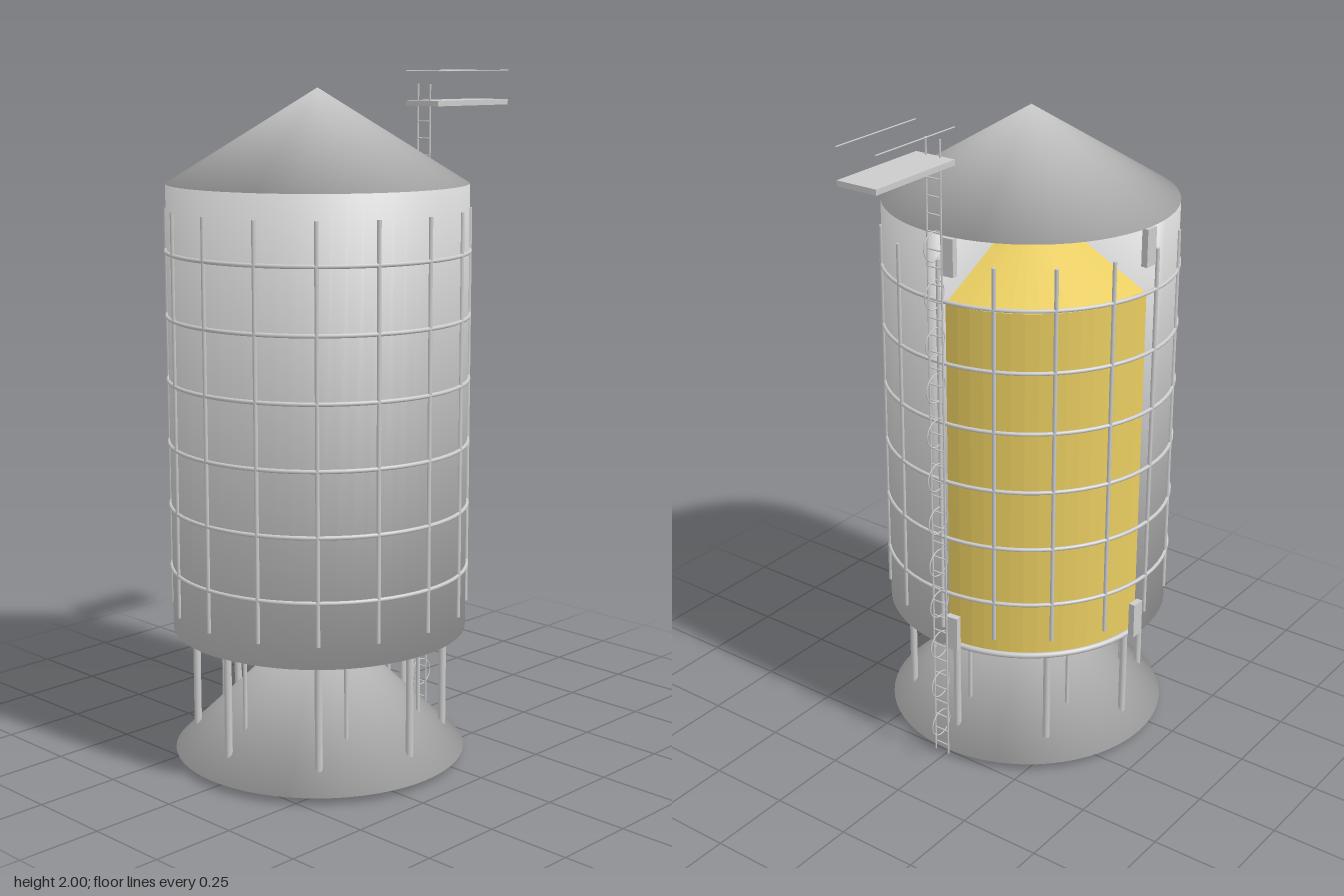
import * as THREE from 'three';
import { mergeVertices, mergeGeometries } from 'three/addons/utils/BufferGeometryUtils.js';

const R = 0.43;
const RAD = Math.PI / 180;
const grey = new THREE.MeshStandardMaterial({ color: 0xcccccc });
const greyBoth = new THREE.MeshStandardMaterial({ color: 0xcccccc, side: THREE.DoubleSide });
const yellow = new THREE.MeshStandardMaterial({ color: 0xe8cc60, flatShading: true, side: THREE.DoubleSide });

// Weld a geometry and give it smooth, corner-angle-weighted normals
function soften(geometry) {
  geometry.deleteAttribute('normal');
  geometry.deleteAttribute('uv');
  const g = mergeVertices(geometry, 1e-3);
  const pos = g.attributes.position;
  const sums = Array.from({ length: pos.count }, () => new THREE.Vector3());
  for (let i = 0; i < g.index.count; i += 3) {
    const ids = [0, 1, 2].map((k) => g.index.getX(i + k));
    const p = ids.map((id) => new THREE.Vector3().fromBufferAttribute(pos, id));
    const n = new THREE.Triangle(...p).getNormal(new THREE.Vector3());
    ids.forEach((id, k) => {
      const a = p[(k + 1) % 3].clone().sub(p[k]);
      const b = p[(k + 2) % 3].clone().sub(p[k]);
      sums[id].addScaledVector(n, a.angleTo(b));
    });
  }
  const normals = sums.flatMap((v) => v.normalize().toArray());
  g.setAttribute('normal', new THREE.Float32BufferAttribute(normals, 3));
  return g;
}

function add(parent, name, geometry, x = 0, y = 0, z = 0, material = grey) {
  const mesh = new THREE.Mesh(geometry, material);
  mesh.name = name;
  mesh.position.set(x, y, z);
  parent.add(mesh);
  return mesh;
}

function group(parent, name) {
  const g = new THREE.Group();
  g.name = name;
  parent.add(g);
  return g;
}

// Vertical posts evenly spaced on a circle
function postRing(parent, name, count, radius, thickness, y0, y1) {
  const ring = group(parent, name + 's');
  const geometry = new THREE.CylinderGeometry(thickness, thickness, y1 - y0, 8);
  for (let i = 0; i < count; i++) {
    const a = Math.PI / 2 + (i / count) * Math.PI * 2;
    add(ring, name, geometry, radius * Math.sin(a), (y0 + y1) / 2, radius * Math.cos(a));
  }
}

function hoop(parent, name, radius, tube, y) {
  add(parent, name, new THREE.TorusGeometry(radius, tube, 8, 64).rotateX(Math.PI / 2), 0, y, 0);
}

export function createModel() {
  const model = new THREE.Group();
  model.name = 'grainSilo';
  const silo = group(model, 'silo');
  silo.position.x = -0.16;

  // Tank body with a quarter cut out at the back right
  const y0 = 0.395, y1 = 1.69, h = y1 - y0;
  const body = mergeGeometries([
    new THREE.CylinderGeometry(R, R, h, 48, 1, false, Math.PI, Math.PI * 1.5),
    new THREE.PlaneGeometry(R, h).rotateY(Math.PI / 2).translate(0, 0, -R / 2),
    new THREE.PlaneGeometry(R, h).rotateY(Math.PI).translate(R / 2, 0, 0),
  ]);
  add(silo, 'tankBody', soften(body), 0, (y0 + y1) / 2, 0, greyBoth);

  // Grain filling the cut-out, heaped to a peak
  const grain = group(silo, 'grain');
  add(grain, 'grainColumn',
    new THREE.CylinderGeometry(0.4, 0.4, 1.085, 16, 1, false, Math.PI / 2, Math.PI / 2), 0, 0.9375, 0, yellow);
  add(grain, 'grainHeap',
    new THREE.ConeGeometry(0.4, 0.205, 16, 1, true, Math.PI / 2, Math.PI / 2), 0, 1.5825, 0, yellow);

  // Small plates at the corners of the opening
  const plates = group(silo, 'openingPlates');
  for (const angle of [94, 176]) {
    for (const y of [0.445, 1.63]) {
      const a = angle * RAD;
      add(plates, 'cornerPlate', new THREE.BoxGeometry(0.04, 0.11, 0.02),
        0.422 * Math.sin(a), y, 0.422 * Math.cos(a)).rotation.y = a;
    }
  }

  // Roof and base cones
  add(silo, 'roof', soften(new THREE.ConeGeometry(R, 0.265, 64)), 0, 1.8225, 0);
  add(silo, 'baseCone', soften(new THREE.ConeGeometry(R, 0.415, 64)), 0, 0.2275, 0);

  // Hoops, ribs and rims
  const hoops = group(silo, 'hoops');
  for (let i = 0; i < 6; i++) hoop(hoops, 'hoop', 0.432, 0.006, 0.583 + i * 0.1835);
  postRing(silo, 'rib', 16, 0.432, 0.006, 0.46, 1.62);
  hoop(silo, 'tankRim', 0.405, 0.009, 0.394);
  hoop(silo, 'baseRim', 0.39, 0.009, 0.018);

  // Legs, short inner rods and the bar under the base
  postRing(silo, 'leg', 8, 0.365, 0.011, 0.075, 0.4);
  postRing(silo, 'innerRod', 6, 0.3, 0.006, 0.14, 0.355);
  add(silo, 'underBar', new THREE.CylinderGeometry(0.012, 0.012, 0.21, 12).rotateX(Math.PI / 2), 0, 0.012, 0);

  // Ladder with safety loops
  const ladder = group(model, 'ladder');
  const lx = 0.285;
  for (const side of [-1, 1]) {
    add(ladder, 'ladderRail', new THREE.CylinderGeometry(0.003, 0.003, 1.94, 6), lx, 0.99, side * 0.024);
  }
  const rung = new THREE.CylinderGeometry(0.0025, 0.0025, 0.05, 6).rotateX(Math.PI / 2);
  for (let i = 0; i < 38; i++) add(ladder, 'rung', rung, lx, 0.05 + i * 0.05, 0);
  const loop = new THREE.TorusGeometry(0.042, 0.002, 6, 32);
  for (let i = 0; i < 12; i++) add(ladder, 'safetyLoop', loop, 0.288, 0.127 + i * 0.1394, 0);

  // Walkway at the top of the ladder
  const walkway = group(model, 'walkway');
  add(walkway, 'platform', new THREE.BoxGeometry(0.32, 0.016, 0.13), 0.435, 1.903, 0);
  for (const side of [-1, 1]) {
    add(walkway, 'handrail', new THREE.CylinderGeometry(0.002, 0.002, 0.32, 6).rotateZ(Math.PI / 2),
      0.435, 1.998, side * 0.065);
  }
  return model;
}
